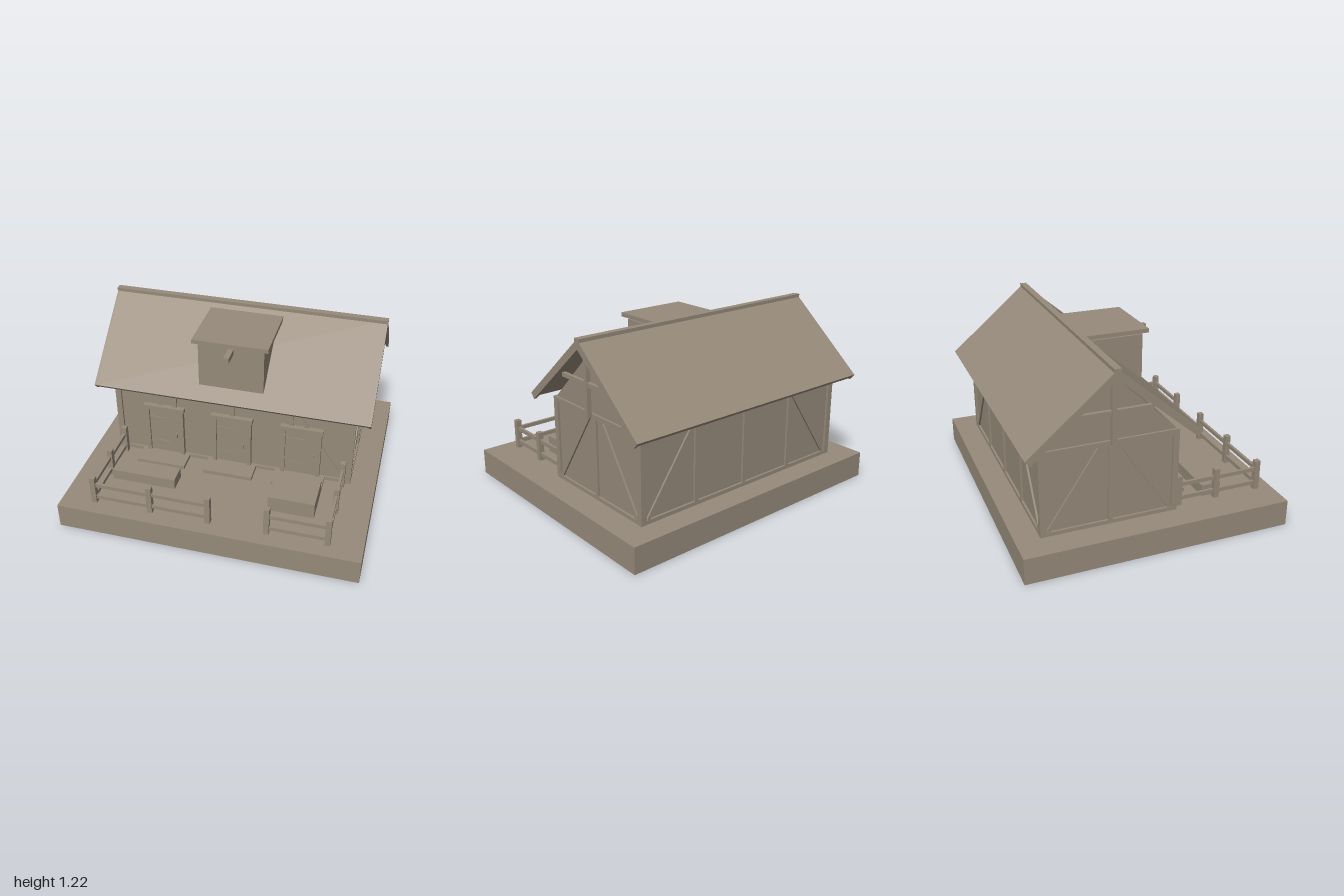
import * as THREE from 'three';

export function createModel() {
  const model = new THREE.Group();
  model.name = 'timberFramedHouse';
  const clay = new THREE.MeshStandardMaterial({ color: 0x968a7a });
  clay.name = 'warmGrey';

  const add = (name, geometry) => {
    const mesh = new THREE.Mesh(geometry, clay);
    mesh.name = name;
    model.add(mesh);
    return mesh;
  };
  // Box given by its limits on each axis
  const box = (name, x0, x1, y0, y1, z0, z1) =>
    add(name, new THREE.BoxGeometry(x1 - x0, y1 - y0, z1 - z0))
      .position.set((x0 + x1) / 2, (y0 + y1) / 2, (z0 + z1) / 2);
  // Profile of [z, y] points extruded along x
  const prism = (name, points, x0, x1) => {
    const shape = new THREE.Shape(points.map(([z, y]) => new THREE.Vector2(-z, y)));
    const g = new THREE.ExtrudeGeometry(shape, { depth: x1 - x0, bevelEnabled: false });
    add(name, g.rotateY(Math.PI / 2).translate(x0, 0, 0));
  };
  // Sloping timber between two points
  const beam = (name, a, b, size) => {
    const p = new THREE.Vector3(...a), q = new THREE.Vector3(...b);
    const mesh = add(name, new THREE.BoxGeometry(size, size, p.distanceTo(q)));
    mesh.position.copy(p).add(q).multiplyScalar(0.5);
    mesh.lookAt(q);
  };

  const G = 0.174, MID = -0.275, FRONT = 0.17, BACK = -0.72, SIDE = 0.83, EAVE = 0.735;

  // Ground slab and walls with gables
  box('platform', -1, 1, 0, G, -0.873, 0.873);
  prism('walls', [[FRONT - 0.015, G], [FRONT - 0.015, EAVE], [MID, 1.15],
    [BACK + 0.015, EAVE], [BACK + 0.015, G]], -SIDE + 0.015, SIDE - 0.015);

  // Corner posts
  for (const x of [-SIDE, SIDE - 0.04])
    for (const z of [BACK, FRONT - 0.04]) box('cornerPost', x, x + 0.04, G, EAVE, z, z + 0.04);

  // Timber framing on the long walls
  for (const z of [FRONT - 0.015, BACK + 0.015]) {
    const z0 = z - 0.014, z1 = z + 0.014;
    box('topPlate', -SIDE, SIDE, 0.705, EAVE, z0, z1);
    box('sill', -SIDE, SIDE, G, 0.2, z0, z1);
    for (const x of [-0.405, 0, 0.405]) box('wallPost', x - 0.014, x + 0.014, G, 0.72, z0, z1);
    for (const s of [-1, 1]) beam('brace', [s * 0.775, 0.2, z], [s * 0.425, 0.71, z], 0.024);
  }

  // Timber framing and roof truss on the gable walls
  for (const s of [-1, 1]) {
    const x = s * (SIDE - 0.015), x0 = x - 0.014, x1 = x + 0.014;
    box('topPlate', x0, x1, 0.705, EAVE, BACK, FRONT);
    box('sill', x0, x1, G, 0.2, BACK, FRONT);
    box('wallPost', x0, x1, G, 0.72, MID - 0.014, MID + 0.014);
    for (const t of [-1, 1])
      beam('brace', [x, 0.2, MID + t * 0.395], [x, 0.71, MID + t * 0.06], 0.024);
    const tx = s * 0.87;
    box('kingPost', tx - 0.015, tx + 0.015, 0.73, 1.17, MID - 0.015, MID + 0.015);
    box('collarBeam', tx - 0.012, tx + 0.012, 0.923, 0.95, MID - 0.248, MID + 0.248);
  }

  // Roof slopes, barge boards and ridge
  const slope = (t, d) => [[MID, 1.216], [MID + d * 0.547, 0.751],
    [MID + d * (0.547 - t * 0.648), 0.751 - t * 0.762], [MID, 1.216 - t / 0.762]];
  for (const d of [-1, 1]) {
    prism('roofSlope', slope(0.03, d), -0.915, 0.915);
    for (const x of [-0.93, 0.912]) prism('bargeBoard', slope(0.047, d), x, x + 0.018);
  }
  box('ridgeBeam', -0.932, 0.932, 1.19, 1.22, MID - 0.022, MID + 0.022);

  // Dormer with flat roof and hoist beam
  prism('dormer', [[0.188, 0.815], [0.188, 1.13], [-0.19, 1.13]], -0.218, 0.218);
  box('dormerRoof', -0.25, 0.25, 1.148, 1.175, -0.23, 0.218);
  box('hoistBeam', -0.018, 0.018, 1.09, 1.125, 0.1, 0.302);

  // Doors, each with frame, straps, handle and step
  for (const x of [-0.48, 0, 0.48]) {
    box('door', x - 0.12, x + 0.12, G, 0.56, 0.15, 0.17);
    for (const s of [-1, 1]) {
      const jx = x + s * 0.122;
      box('doorJamb', jx - 0.014, jx + 0.014, G, 0.56, 0.15, 0.185);
    }
    box('doorLintel', x - 0.145, x + 0.145, 0.558, 0.587, 0.15, 0.19);
    for (const y of [0.28, 0.48]) box('doorStrap', x - 0.1, x + 0.03, y, y + 0.01, 0.168, 0.174);
    box('doorHandle', x + 0.075, x + 0.087, 0.335, 0.37, 0.168, 0.185);
    box('doorStep', x - 0.172, x + 0.172, G, 0.2, 0.15, 0.31);
  }

  // Bench and crate in the yard
  box('bench', -0.745, -0.305, G, 0.25, 0.39, 0.522);
  box('crate', 0.345, 0.652, G, 0.288, 0.312, 0.562);

  // Fence
  const FX = 0.775, FZ = 0.765;
  const posts = [[-0.39, FZ], [0, FZ], [0.385, FZ]];
  for (const s of [-1, 1]) for (const z of [0.205, 0.47, FZ]) posts.push([s * FX, z]);
  for (const [x, z] of posts)
    box('fencePost', x - 0.018, x + 0.018, G, 0.377, z - 0.018, z + 0.018);
  for (const y of [0.207, 0.303]) {
    const top = y + 0.026;
    box('fenceRail', -FX, 0, y, top, FZ - 0.009, FZ + 0.009);
    box('fenceRail', 0.385, FX, y, top, FZ - 0.009, FZ + 0.009);
    for (const s of [-1, 1])
      box('fenceRail', s * FX - 0.009, s * FX + 0.009, y, top, 0.17, FZ);
  }
  return model;
}
